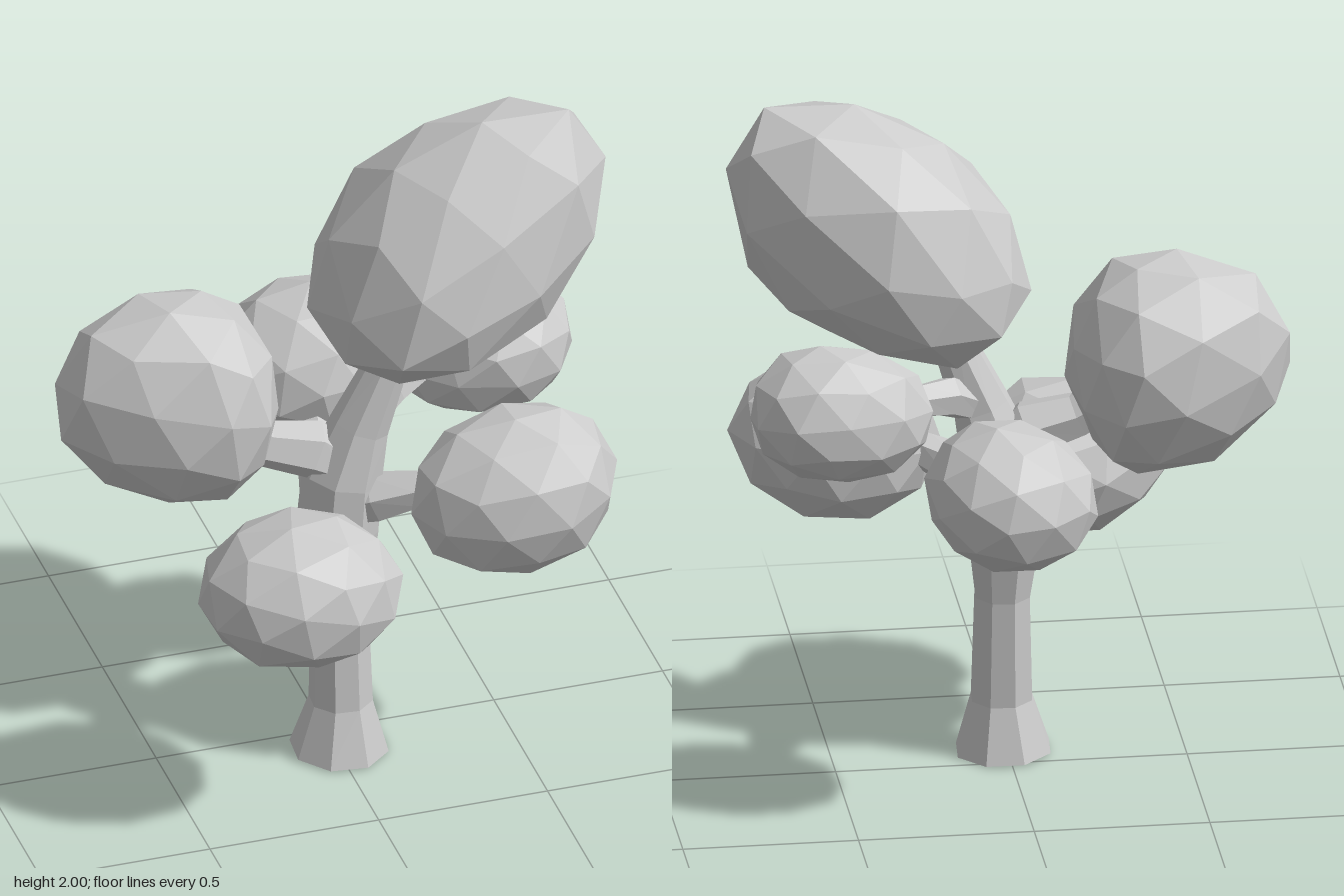
import * as THREE from 'three';

const bark = new THREE.MeshStandardMaterial({ color: 0xcccccc, flatShading: true });
const leaf = new THREE.MeshStandardMaterial({ color: 0xcccccc, flatShading: true });

// Faceted limb: rings of the given radius around path points [x, y, z, radius]
function limb(name, path, sides) {
  const pts = path.map(p => new THREE.Vector3(p[0], p[1], p[2]));
  const pos = [];
  const rings = pts.map((p, i) => {
    const t = pts[Math.min(i + 1, pts.length - 1)].clone().sub(pts[Math.max(i - 1, 0)]).normalize();
    const u = new THREE.Vector3(0.31, 0.1, 0.95).cross(t).normalize();
    const v = t.clone().cross(u);
    return Array.from({ length: sides }, (_, j) => {
      const a = (j / sides) * Math.PI * 2;
      return p.clone().addScaledVector(u, Math.cos(a) * path[i][3]).addScaledVector(v, Math.sin(a) * path[i][3]);
    });
  });
  const tri = (...vs) => vs.forEach(v => pos.push(v.x, v.y, v.z));
  const last = pts.length - 1;
  for (let j = 0; j < sides; j++) {
    const k = (j + 1) % sides;
    for (let i = 0; i < last; i++) {
      const [a, b, c, d] = [rings[i][j], rings[i][k], rings[i + 1][k], rings[i + 1][j]];
      tri(a, b, c);
      tri(a, c, d);
    }
    tri(pts[0], rings[0][k], rings[0][j]);
    tri(pts[last], rings[last][j], rings[last][k]);
  }
  const g = new THREE.BufferGeometry();
  g.setAttribute('position', new THREE.Float32BufferAttribute(pos, 3));
  g.computeVertexNormals();
  const mesh = new THREE.Mesh(g, bark);
  mesh.name = name;
  return mesh;
}

// Repeatable wobble from a vertex position
function wobble(p, seed) {
  const r = n => Math.round(n * 1000) / 1000;
  const s = Math.sin(r(p.x) * 12.9 + r(p.y) * 78.2 + r(p.z) * 37.7 + seed * 5.3) * 437.5;
  return s - Math.floor(s) - 0.5;
}

// Lopsided leaf clump: core is where it is widest, min and max are its extents.
// taper thins its depth towards +x (or -x if negative); lean and bend lift it along x.
function clump(name, min, max, core, { taper = 0, lean = 0, bend = 0 }, seed) {
  const g = new THREE.IcosahedronGeometry(1, 1);
  g.rotateY(seed * 0.9);
  g.rotateZ(seed * 0.4);
  const pos = g.attributes.position;
  const p = new THREE.Vector3();
  for (let i = 0; i < pos.count; i++) {
    p.fromBufferAttribute(pos, i);
    p.multiplyScalar(1 + 0.06 * wobble(p, seed));
    pos.setXYZ(i, p.x, p.y + lean * p.x + bend * p.x * p.x, p.z * (1 - taper * p.x));
  }
  // Each half is sized from the core to its own extent
  g.computeBoundingBox();
  const box = g.boundingBox;
  for (let i = 0; i < pos.count; i++) {
    ['x', 'y', 'z'].forEach((axis, n) => {
      const c = pos.getComponent(i, n);
      const f = c > 0 ? (max[n] - core[n]) / box.max[axis] : (min[n] - core[n]) / box.min[axis];
      pos.setComponent(i, n, core[n] + c * f);
    });
  }
  g.computeVertexNormals();
  const mesh = new THREE.Mesh(g, leaf);
  mesh.name = name;
  return mesh;
}

export function createModel() {
  const tree = new THREE.Group();
  tree.name = 'tree';

  // Trunk with flared foot, bending into the top branch
  tree.add(limb('trunk', [
    [0.01, 0, 0.1, 0.142], [0.015, 0.16, 0.1, 0.092], [0.015, 0.48, 0.087, 0.083],
    [0.01, 0.72, 0.082, 0.118], [0.025, 0.9, 0.083, 0.115], [0.075, 1.06, 0.09, 0.085],
    [0.16, 1.27, 0.1, 0.06], [0.22, 1.36, 0.1, 0.05],
  ], 8));

  // Side branches, each reaching into its clump
  const branches = {
    leftUpperBranch: [[0.04, 0.92, 0.085, 0.06], [-0.06, 0.99, 0.07, 0.085], [-0.2, 1.03, 0.06, 0.068], [-0.36, 1.13, 0.03, 0.045]],
    frontLeftBranch: [[0.01, 0.72, 0.09, 0.06], [-0.05, 0.75, 0.18, 0.06], [-0.13, 0.77, 0.32, 0.04]],
    frontRightBranch: [[0.02, 0.8, 0.09, 0.06], [0.11, 0.84, 0.14, 0.075], [0.22, 0.88, 0.2, 0.055], [0.32, 0.91, 0.25, 0.04]],
    backRightBranch: [[0.08, 1.06, 0.085, 0.05], [0.18, 1.12, 0.02, 0.06], [0.27, 1.13, -0.03, 0.05], [0.4, 1.14, -0.08, 0.035]],
    backBranch: [[0.015, 0.77, 0.08, 0.06], [0.01, 0.81, -0.03, 0.078], [0.02, 0.85, -0.14, 0.058], [0.04, 0.95, -0.27, 0.04]],
  };
  for (const [name, path] of Object.entries(branches)) tree.add(limb(name, path, 6));

  // Leaf clumps
  tree.add(
    clump('topLeaves', [-0.06, 1.23, -0.26], [0.8, 2, 0.42], [0.33, 1.53, 0.07], { taper: 0.25, lean: 0.42, bend: 0.17 }, 1),
    clump('leftUpperLeaves', [-0.8, 0.88, -0.26], [-0.16, 1.52, 0.28], [-0.4, 1.19, 0.01], { taper: -0.12, lean: -0.05, bend: 0.08 }, 2),
    clump('frontLeftLeaves', [-0.49, 0.54, 0.16], [0.08, 0.98, 0.65], [-0.19, 0.76, 0.42], {}, 3),
    clump('frontRightLeaves', [0.16, 0.66, 0.06], [0.77, 1.14, 0.54], [0.47, 0.9, 0.3], { taper: -0.1, lean: 0.1 }, 4),
    clump('backRightLeaves', [0.24, 0.94, -0.3], [0.75, 1.33, 0.1], [0.52, 1.13, -0.1], { taper: -0.1, lean: 0.1 }, 5),
    clump('backLeaves', [-0.19, 0.77, -0.65], [0.3, 1.21, -0.15], [0.07, 0.99, -0.42], { lean: 0.08 }, 6),
  );
  return tree;
}
